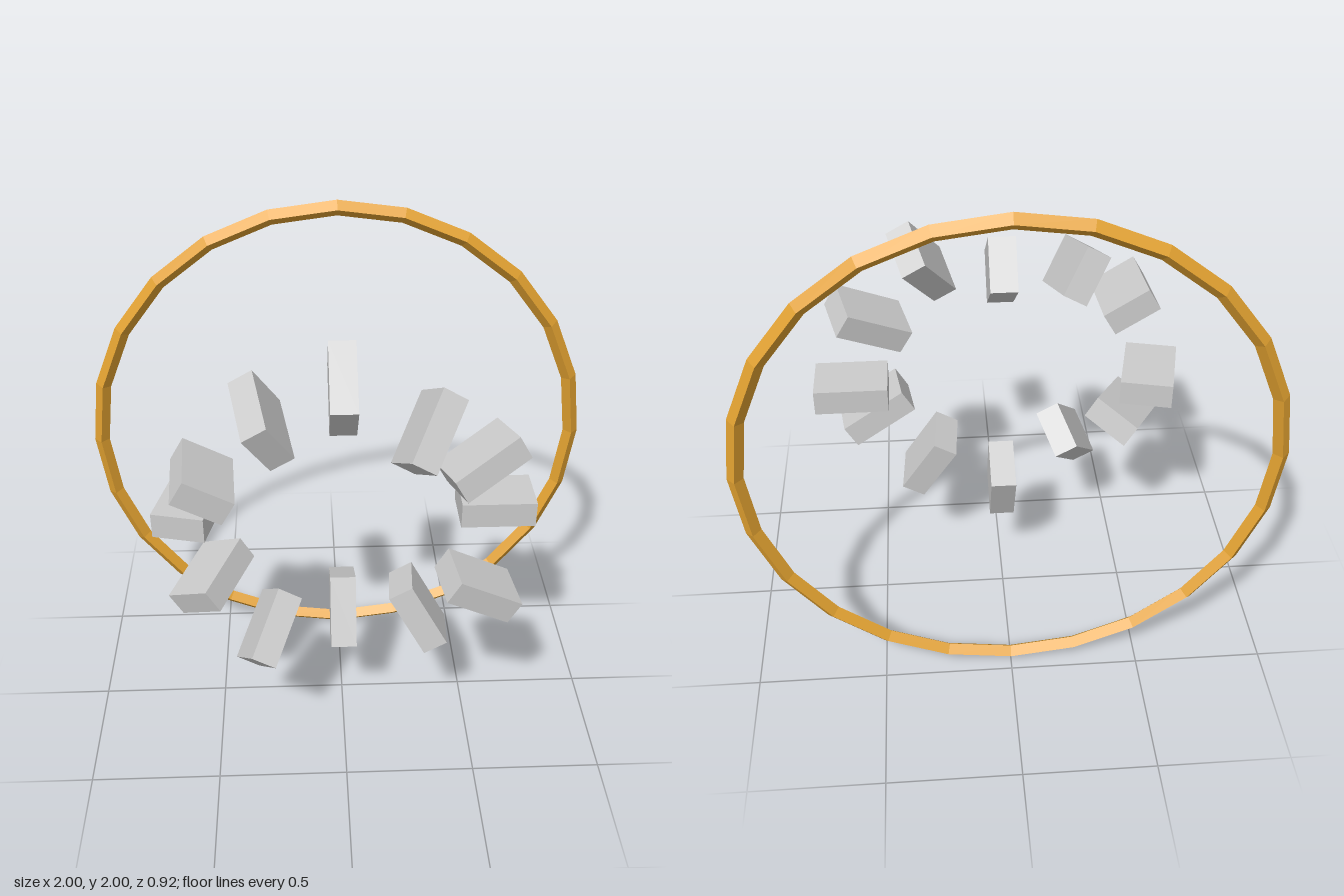
import * as THREE from 'three';

export function createModel() {
  const model = new THREE.Group();
  const grey = new THREE.MeshStandardMaterial({ color: 0xcccccc, flatShading: true });
  const gold = new THREE.MeshStandardMaterial({ color: 0xe0a030, flatShading: true });

  // Thin faceted hoop with a four-sided section, standing behind the blocks
  const hoop = new THREE.Mesh(new THREE.TorusGeometry(0.97, 0.03, 4, 24), gold);
  hoop.name = 'hoop';
  hoop.position.set(0, 1, -0.435);
  model.add(hoop);

  // Twelve blocks on an oval, each tumbled a little further than the last
  // and stepped forward in a repeating pattern of three
  const blocks = new THREE.Group();
  blocks.name = 'floatingBlocks';
  const blockGeometry = new THREE.BoxGeometry(0.28, 0.1, 0.2);
  const count = 12;
  for (let i = 0; i < count; i++) {
    const angle = (i / count) * Math.PI * 2;
    const block = new THREE.Mesh(blockGeometry, grey);
    block.name = `block${i + 1}`;
    block.position.set(
      0.58 * Math.cos(angle),
      1 + 0.495 * Math.sin(angle),
      0.084 + 0.1 * (i % 3)
    );
    block.rotation.set(0, 0.3 * i, angle, 'ZYX');
    blocks.add(block);
  }
  model.add(blocks);

  return model;
}
